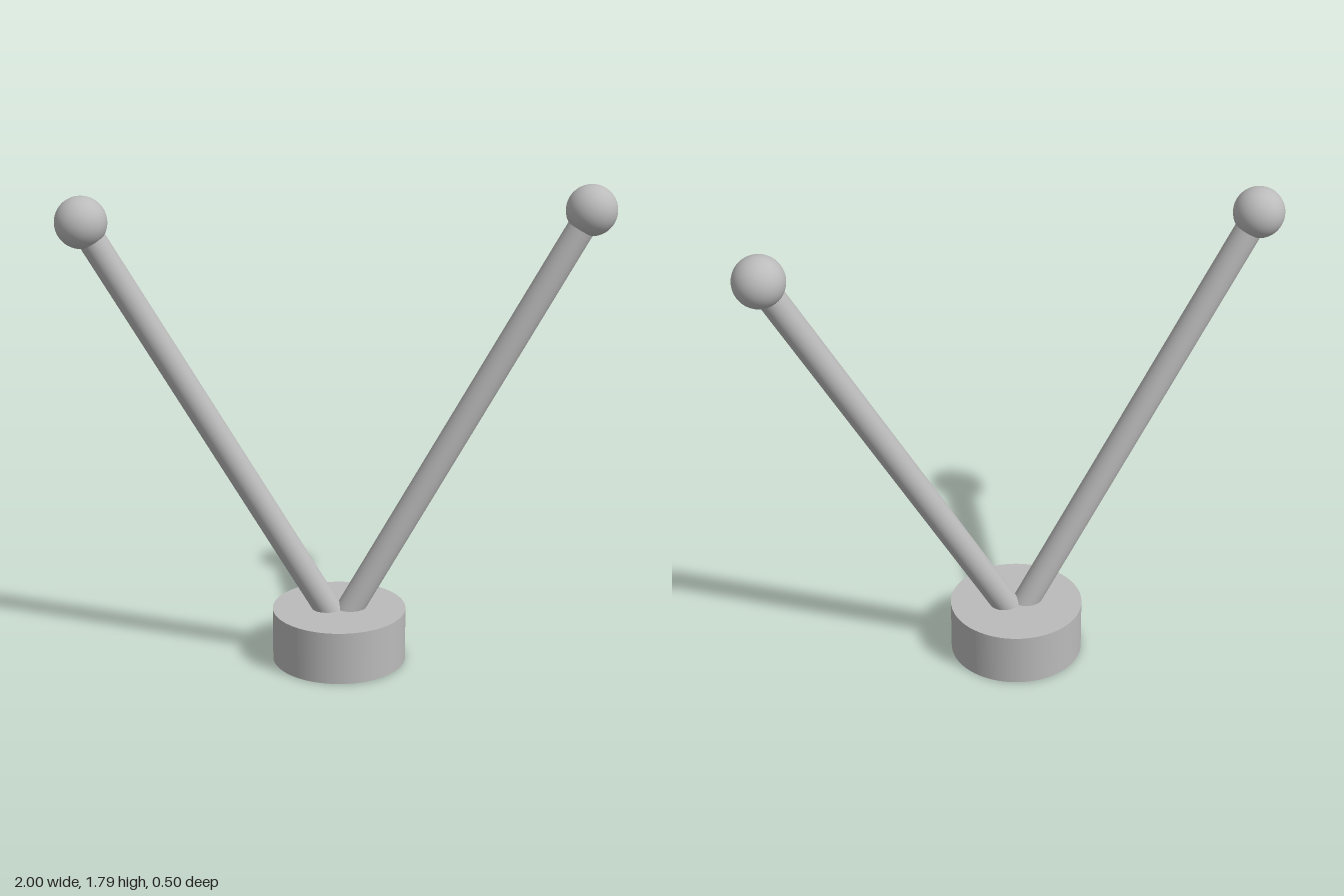
import * as THREE from 'three';

export function createModel() {
  const group = new THREE.Group();
  const grey = new THREE.MeshStandardMaterial({ color: 0xbbbbbb });
  grey.name = 'light grey';

  const add = (name, geometry, x, y) => {
    const mesh = new THREE.Mesh(geometry, grey);
    mesh.name = name;
    mesh.position.set(x, y, 0);
    group.add(mesh);
    return mesh;
  };

  // Round base
  add('base', new THREE.CylinderGeometry(0.248, 0.248, 0.2, 64), 0, 0.1);

  // Two rods leaning out 30 degrees, each ending in a ball
  const tilt = Math.PI / 6;
  const foot = 0.124; // height where the rod axes meet inside the base
  const length = 1.814;
  for (const [side, s] of [['left', 1], ['right', -1]]) {
    const dx = s * Math.sin(tilt) * length;
    const dy = Math.cos(tilt) * length;
    const rod = add(side + 'Rod', new THREE.CylinderGeometry(0.05, 0.05, length, 48), dx / 2, foot + dy / 2);
    rod.rotation.z = -s * tilt;
    add(side + 'Ball', new THREE.SphereGeometry(0.093, 48, 32), dx, foot + dy);
  }
  return group;
}
